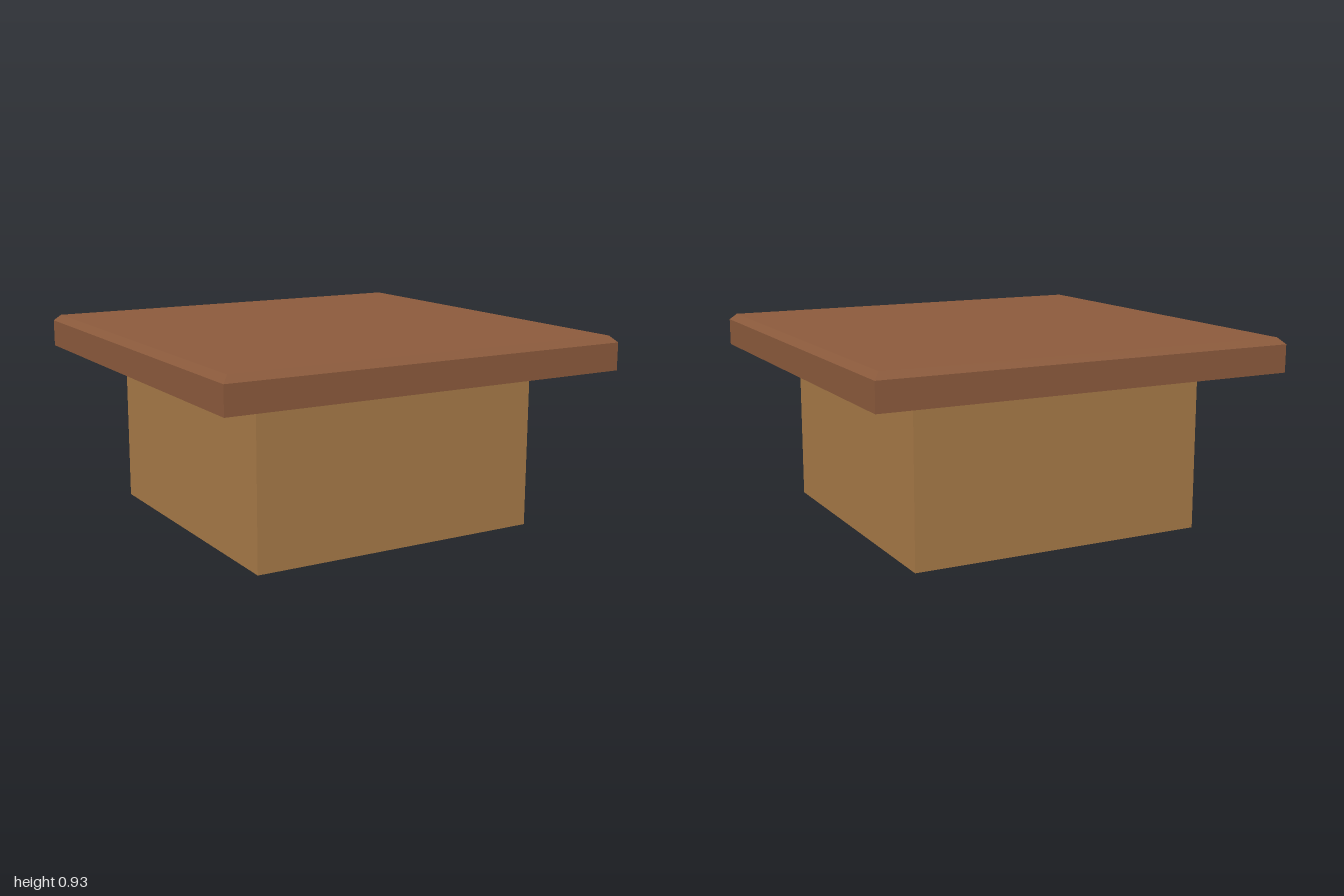
import * as THREE from 'three';

const redWood = new THREE.MeshStandardMaterial({ color: 0x8b5a3c });
redWood.name = 'red brown wood';
const tanWood = new THREE.MeshStandardMaterial({ color: 0xa67947 });
tanWood.name = 'tan wood';

// Square solid from a half-width / height profile, with crisp faces
function squareLathe(profile) {
  const points = profile.map(([half, y]) => new THREE.Vector2(half * Math.SQRT2, y));
  const geometry = new THREE.LatheGeometry(points, 4, Math.PI / 4).toNonIndexed();
  geometry.computeVertexNormals();
  return geometry;
}

export function createModel() {
  const group = new THREE.Group();
  group.name = 'squarePedestal';

  // Base block: tan sides, red brown underside
  const height = 0.77;
  const sides = [tanWood, tanWood, tanWood, redWood, tanWood, tanWood];
  const base = new THREE.Mesh(new THREE.BoxGeometry(1.44, height, 1.44), sides);
  base.name = 'base';
  base.position.y = height / 2;
  group.add(base);

  // Overhanging slab with a chamfered top edge
  const slab = new THREE.Mesh(
    squareLathe([[0, height], [1, height], [1, 0.9], [0.97, 0.93], [0, 0.93]]),
    redWood
  );
  slab.name = 'topSlab';
  group.add(slab);

  return group;
}
